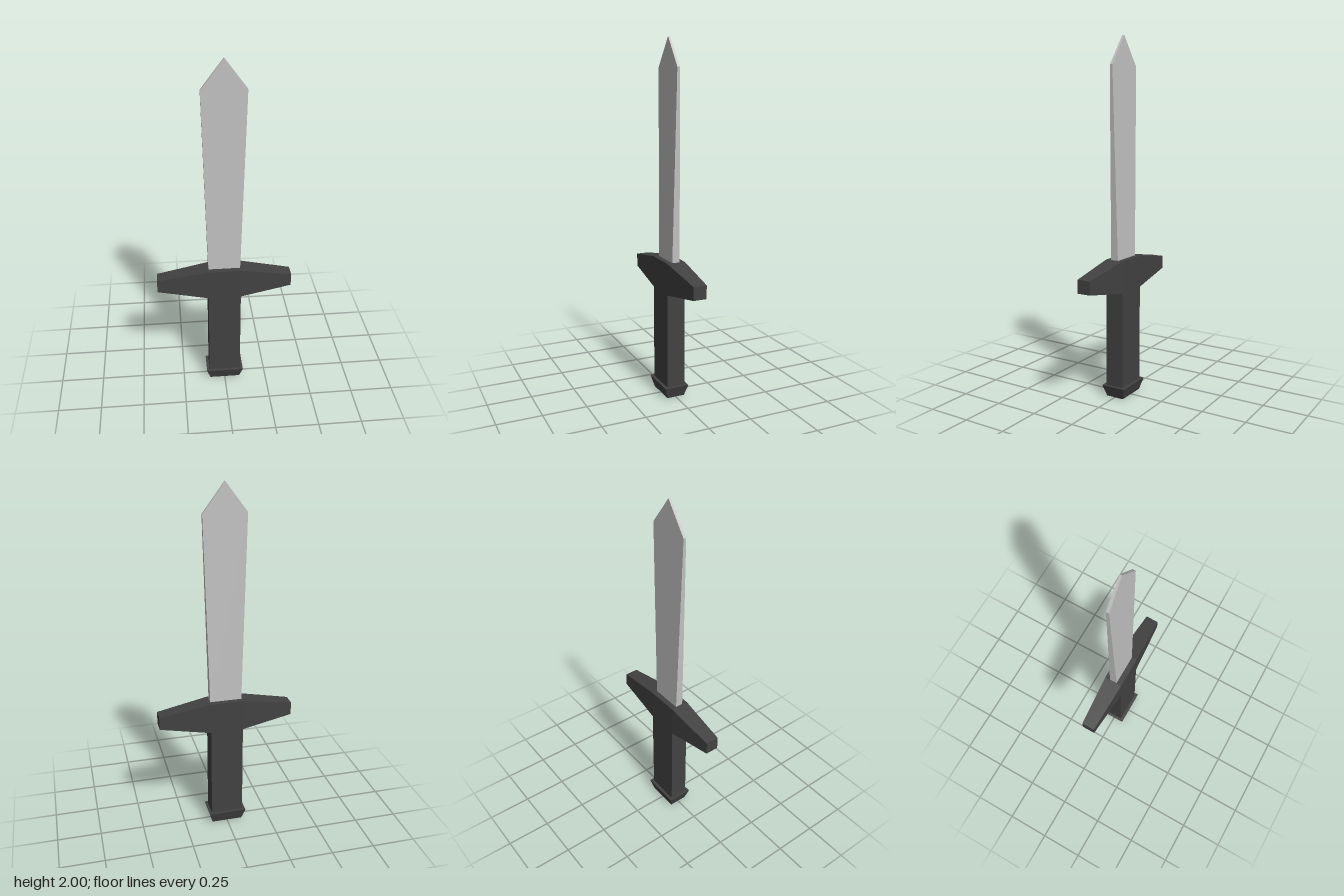
import * as THREE from 'three';

// Rectangular loft along y; rings listed bottom to top as [y, halfX, halfZ]
function loft(rings) {
  const n = rings.length - 1;
  const box = new THREE.BoxGeometry(2, 1, 2, 1, n, 1);
  const p = box.attributes.position;
  for (let i = 0; i < p.count; i++) {
    const [y, hx, hz] = rings[Math.round((p.getY(i) + 0.5) * n)];
    p.setXYZ(i, Math.sign(p.getX(i)) * hx, y, Math.sign(p.getZ(i)) * hz);
  }
  const flat = box.toNonIndexed();
  flat.computeVertexNormals();
  return flat;
}

export function createModel() {
  const steel = new THREE.MeshStandardMaterial({ color: 0xc2c2c2, flatShading: true });
  steel.name = 'steel';
  const darkMetal = new THREE.MeshStandardMaterial({ color: 0x424242, flatShading: true });
  darkMetal.name = 'darkMetal';

  const sword = new THREE.Group();
  sword.name = 'sword';
  const add = (name, geometry, material) => {
    const mesh = new THREE.Mesh(geometry, material);
    mesh.name = name;
    sword.add(mesh);
    return mesh;
  };

  // Blade widens upward, thins, and ends in a point
  add('blade', loft([[0.78, 0.09, 0.022], [1.84, 0.12, 0.008], [2, 0, 0.006]]), steel);

  // Crossguard: tapered arms either side of a straight centre block
  const guard = add('crossguard', loft([
    [-0.384, 0.037, 0.038], [-0.093, 0.09, 0.053],
    [0.093, 0.09, 0.053], [0.384, 0.037, 0.038],
  ]).rotateZ(-Math.PI / 2), darkMetal);
  guard.position.y = 0.7;

  // Grip
  add('grip', loft([[0.06, 0.093, 0.053], [0.612, 0.093, 0.053]]), darkMetal);

  // Flared pommel
  add('pommel', loft([[0, 0.089, 0.052], [0.066, 0.11, 0.071]]), darkMetal);

  return sword;
}
